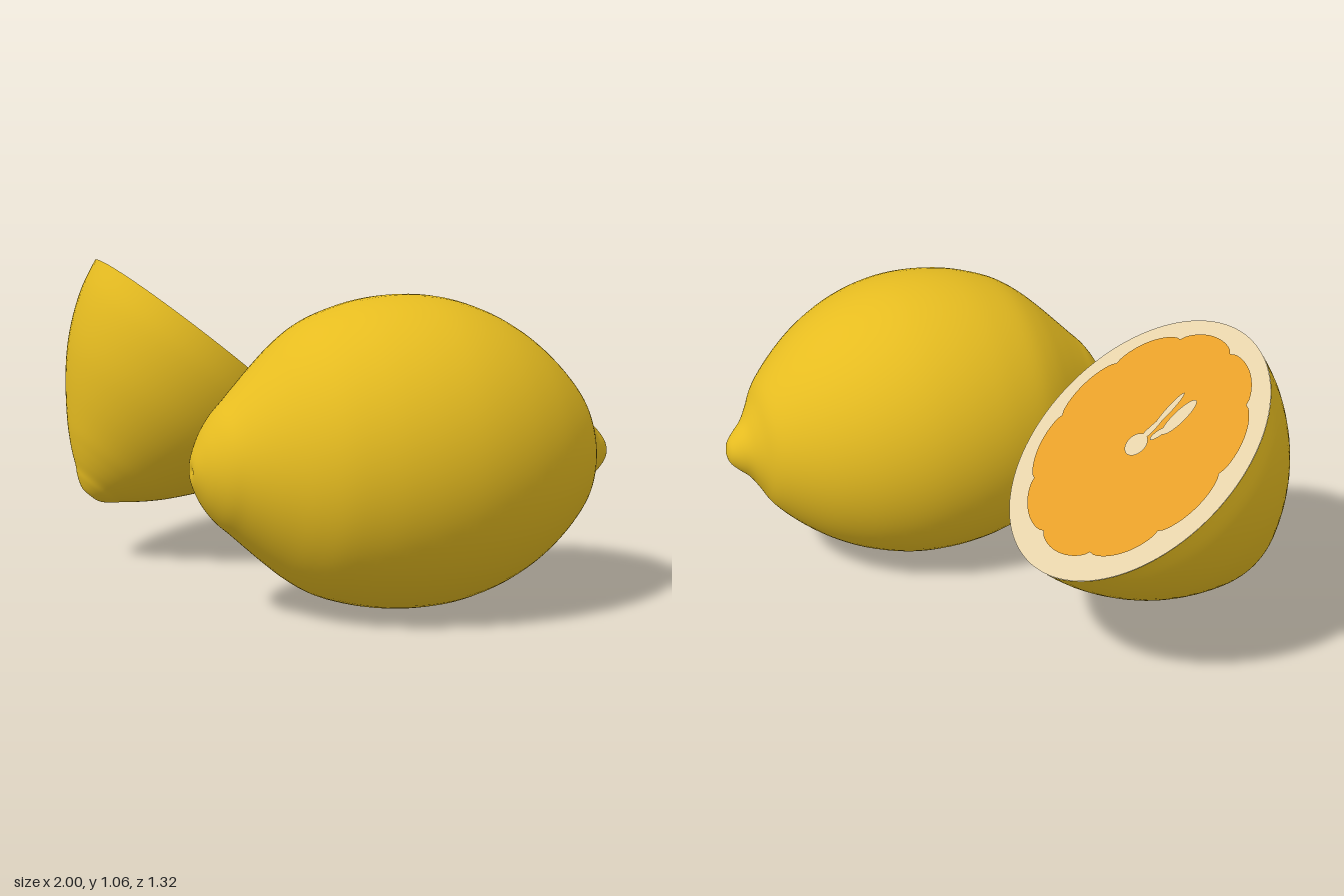
import * as THREE from 'three';

const mat = (name, color) => {
  const m = new THREE.MeshStandardMaterial({ color });
  m.name = name;
  return m;
};

// radius and height along the fruit axis, blossom end first
const WHOLE = [
  [0, -0.688], [0.02, -0.695], [0.05, -0.69], [0.1, -0.668], [0.138, -0.645], [0.176, -0.615],
  [0.212, -0.577], [0.255, -0.533], [0.32, -0.465], [0.383, -0.392], [0.434, -0.31], [0.472, -0.2],
  [0.491, -0.1], [0.497, 0], [0.49, 0.1], [0.467, 0.2], [0.428, 0.3], [0.37, 0.4], [0.297, 0.49],
  [0.217, 0.565], [0.15, 0.603], [0.1, 0.635], [0.066, 0.67], [0.036, 0.695], [0, 0.705],
];
// the cut half is slimmer and ends at the cut
const HALF = [
  [0, -0.652], [0.018, -0.664], [0.045, -0.658], [0.08, -0.635], [0.105, -0.612], [0.14, -0.585],
  [0.18, -0.55], [0.23, -0.5], [0.315, -0.4], [0.385, -0.3], [0.437, -0.2], [0.474, -0.1], [0.495, 0],
];

// smooth body of revolution through the profile points
function fruitBody(points, steps) {
  const curve = new THREE.SplineCurve(points.map(([r, y]) => new THREE.Vector2(r, y)));
  const profile = curve.getPoints(steps);
  profile.forEach((p) => { p.x = Math.max(p.x, 0); });
  return new THREE.LatheGeometry(profile, 72);
}

// flat face lying across the fruit axis at a small height
function plate(shape, height, material, name) {
  const geo = new THREE.ShapeGeometry(shape, 64).rotateX(-Math.PI / 2).translate(0, height, 0);
  const mesh = new THREE.Mesh(geo, material);
  mesh.name = name;
  return mesh;
}

function ellipse(x, z, rx, rz, turn = 0) {
  const s = new THREE.Shape();
  s.absellipse(x, -z, rx, rz, 0, Math.PI * 2, false, turn);
  return s;
}

export function createModel() {
  const model = new THREE.Group();
  const skin = mat('yellow skin', 0xe6bc20);
  const pith = mat('cream pith', 0xe6d3aa);
  const flesh = mat('orange flesh', 0xe7a029);
  const up = new THREE.Vector3(0, 1, 0);

  // whole fruit lying on its side, both ends drooping a little
  const axis = new THREE.Vector3(0.361, 0, -0.932).normalize();
  const wholeGeo = fruitBody(WHOLE, 96);
  wholeGeo.applyQuaternion(new THREE.Quaternion().setFromUnitVectors(up, axis));
  const pos = wholeGeo.attributes.position;
  const v = new THREE.Vector3();
  for (let i = 0; i < pos.count; i++) {
    v.fromBufferAttribute(pos, i);
    const t = v.dot(axis) / 0.7;
    pos.setY(i, v.y - 0.03 * t * t);
  }
  const whole = new THREE.Mesh(wholeGeo, skin);
  whole.name = 'wholeFruit';
  whole.position.set(0.483, 0.498, 0);
  model.add(whole);

  // half fruit tilted with its cut face up and back
  const half = new THREE.Group();
  half.name = 'halfFruit';
  const normal = new THREE.Vector3(0.24, 0.77, -0.59).normalize();
  half.quaternion.setFromUnitVectors(up, normal);
  half.position.set(-0.52, 0.745, 0.04);
  const shell = new THREE.Mesh(fruitBody(HALF, 60), skin);
  shell.name = 'halfSkin';
  half.add(shell);
  half.add(plate(ellipse(0, 0, 0.494, 0.494), 0, pith, 'pithFace'));

  // scalloped flesh with ten segments
  const outline = [];
  for (let i = 0; i < 160; i++) {
    const a = (i / 160) * Math.PI * 2;
    const r = 0.402 + 0.026 * Math.sqrt(Math.abs(Math.sin(a * 5 + 0.4)));
    outline.push(new THREE.Vector2(r * Math.cos(a), r * Math.sin(a) - 0.012));
  }
  half.add(plate(new THREE.Shape(outline), 0.004, flesh, 'fleshFace'));

  // pith core and seed marks: x, z, half length, half width, turn
  [
    [-0.008, 0.005, 0.045, 0.042, 0],
    [-0.028, 0.06, 0.06, 0.014, 1.2],
    [-0.055, 0.15, 0.07, 0.014, 1.3],
    [-0.115, 0.13, 0.075, 0.029, 1.2],
    [-0.075, 0.06, 0.035, 0.014, 0.9],
  ].forEach(([x, z, a, b, turn], i) => {
    half.add(plate(ellipse(x, z, a, b, turn), 0.008 + i * 0.0004, pith, i ? 'seedMark' : 'pithCore'));
  });
  model.add(half);
  return model;
}
